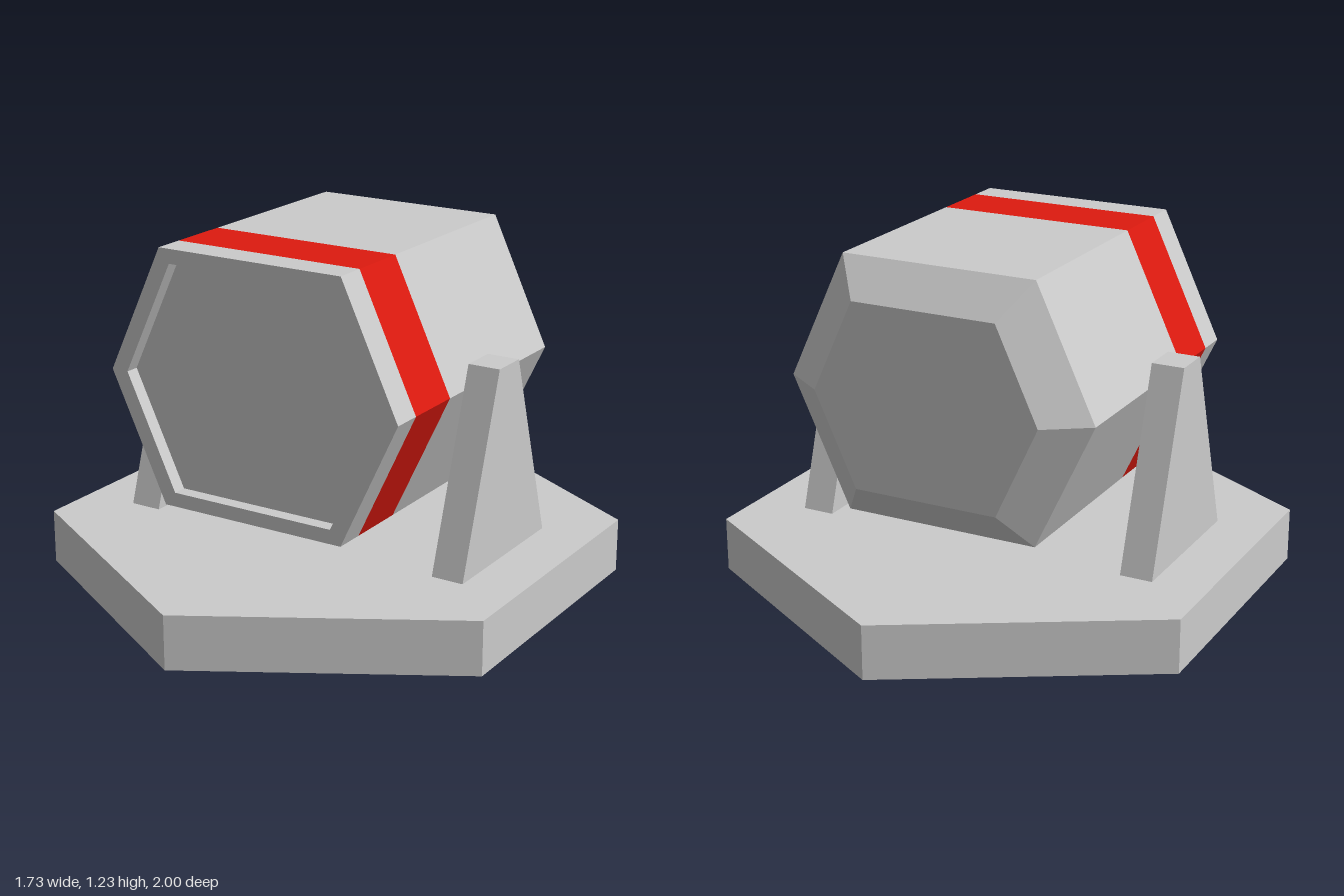
import * as THREE from 'three';

const grey = () => new THREE.MeshStandardMaterial({ color: 0xcccccc, flatShading: true });
const red = () => new THREE.MeshStandardMaterial({ color: 0xdd1a0f, flatShading: true });

// Hexagon profiles: half width at the side points, half width of the flat edge, half height
const OUTER = [0.56, 0.35, 0.448];
const INNER = [0.497, 0.31, 0.398];
const REAR = [0.41, 0.26, 0.323];

function hexRing([a, t, h], z) {
  return [[a, 0], [t, h], [-t, h], [-a, 0], [-t, -h], [t, -h]].map(([x, y]) => [x, y, z]);
}

// Joins hexagonal rings into a flat-faced skin, with optional end caps
function loft(sections, capStart, capEnd) {
  const rings = sections.map(([profile, z]) => hexRing(profile, z));
  const pos = [];
  const tri = (...corners) => corners.forEach((c) => pos.push(...c));
  for (let r = 0; r < rings.length - 1; r++) {
    const f = rings[r], b = rings[r + 1];
    for (let i = 0; i < 6; i++) {
      const j = (i + 1) % 6;
      tri(f[i], b[i], b[j]);
      tri(f[i], b[j], f[j]);
    }
  }
  const first = rings[0], last = rings[rings.length - 1];
  for (let i = 1; i < 5; i++) {
    if (capStart) tri(first[0], first[i], first[i + 1]);
    if (capEnd) tri(last[0], last[i + 1], last[i]);
  }
  const geo = new THREE.BufferGeometry();
  geo.setAttribute('position', new THREE.Float32BufferAttribute(pos, 3));
  geo.computeVertexNormals();
  return geo;
}

export function createModel() {
  const model = new THREE.Group();
  const add = (name, geo, mat, parent = model) => {
    const mesh = new THREE.Mesh(geo, mat);
    mesh.name = name;
    parent.add(mesh);
    return mesh;
  };

  // Hexagonal base plate
  add('base', new THREE.CylinderGeometry(1, 1, 0.19, 6), grey()).position.y = 0.095;

  // Hexagonal drum: recessed front, flush coloured band, bevelled rear
  const drum = new THREE.Group();
  drum.name = 'drum';
  drum.position.y = 0.777;
  model.add(drum);
  add('frontRim', loft([[INNER, 0.465], [INNER, 0.515], [OUTER, 0.515], [OUTER, 0.405]], true, false), grey(), drum);
  add('band', loft([[OUTER, 0.405], [OUTER, 0.187]], false, false), red(), drum);
  add('rearBody', loft([[OUTER, 0.187], [OUTER, -0.495], [REAR, -0.597]], false, true), grey(), drum);

  // Tapered supports on both sides
  const outline = new THREE.Shape([[-0.287, 0.19], [0.287, 0.19], [0.067, 0.862], [-0.067, 0.862]]
    .map(([z, y]) => new THREE.Vector2(z, y)));
  const supportGeo = new THREE.ExtrudeGeometry(outline, { depth: 0.115, bevelEnabled: false });
  supportGeo.translate(0, 0, -0.0575).rotateY(Math.PI / 2);
  for (const [name, side] of [['leftSupport', 1], ['rightSupport', -1]]) {
    add(name, supportGeo, grey()).position.x = side * 0.6175;
  }
  return model;
}
